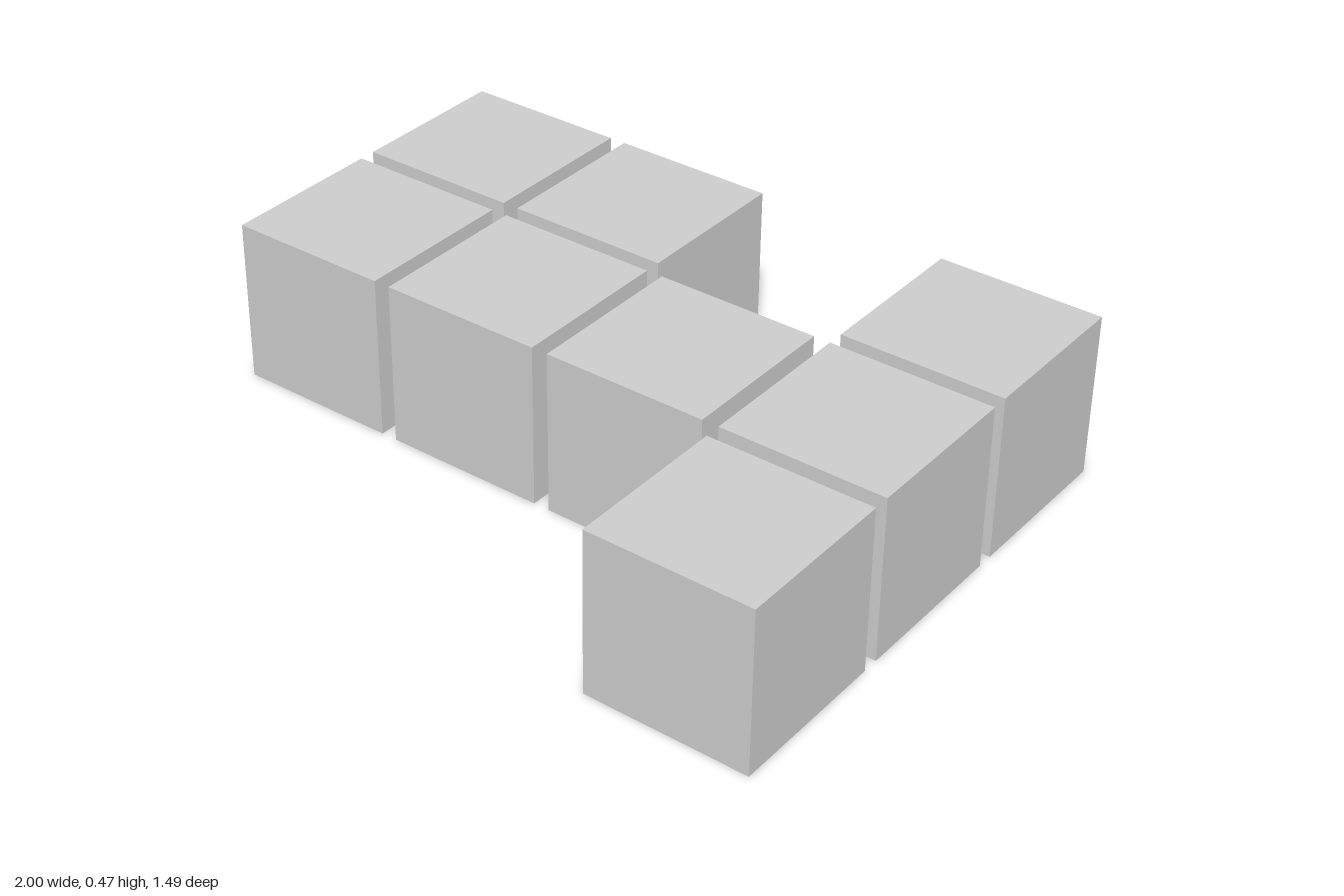
import * as THREE from 'three';

export function createModel() {
  const group = new THREE.Group();
  const size = 0.465; // cube edge
  const pitch = 0.5117; // spacing between cube centres

  // Floor plan, back row first; each # is one cube
  const plan = ['##.#', '####', '...#'];

  const geometry = new THREE.BoxGeometry(size, size, size);
  const material = new THREE.MeshStandardMaterial({ color: 0xcccccc, flatShading: true });

  plan.forEach((row, r) => {
    [...row].forEach((cell, c) => {
      if (cell !== '#') return;
      const cube = new THREE.Mesh(geometry, material);
      cube.name = `cubeRow${r + 1}Column${c + 1}`;
      cube.position.set((c - 1.5) * pitch, size / 2, (r - 1) * pitch);
      group.add(cube);
    });
  });

  group.name = 'cubeCluster';
  return group;
}
